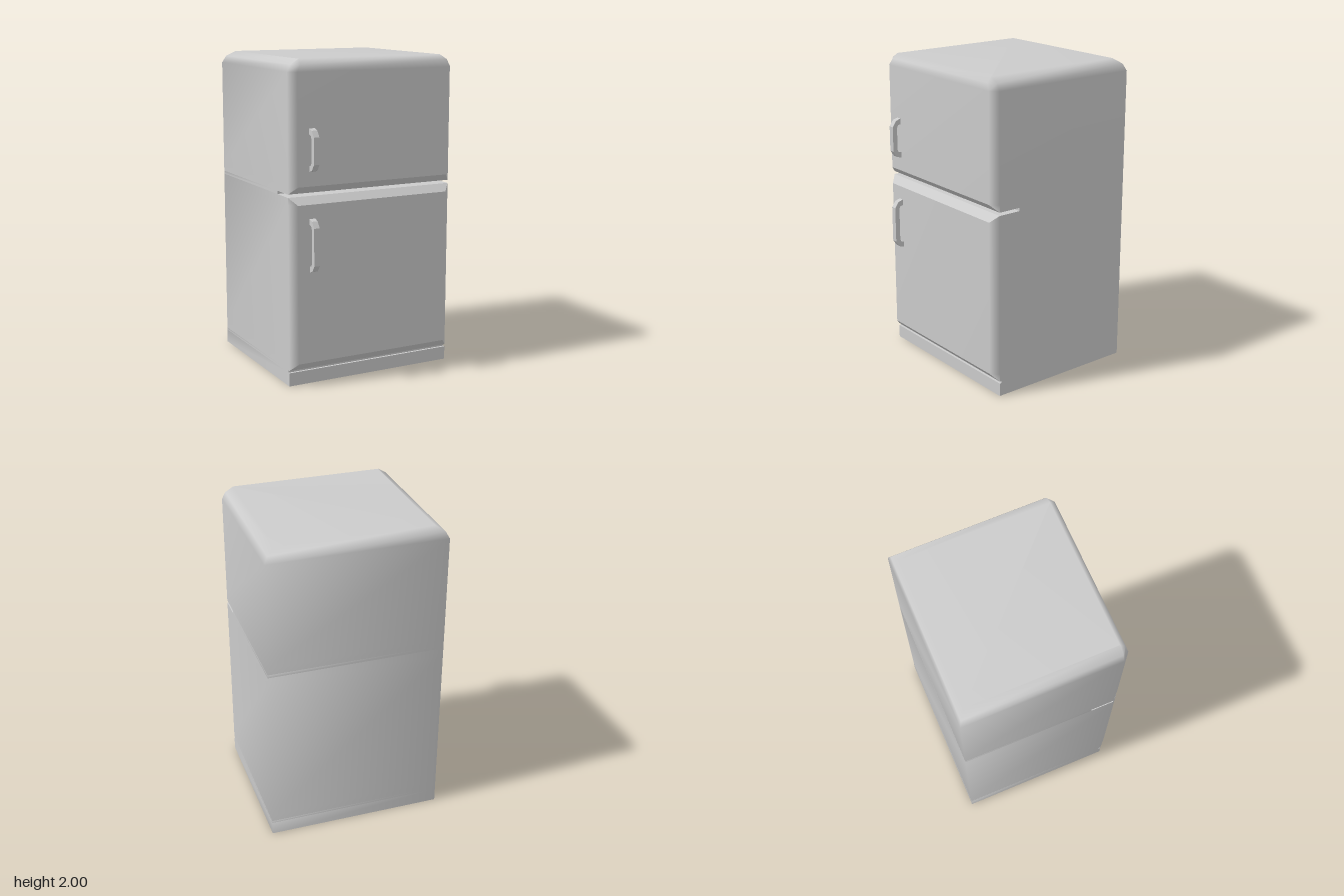
import * as THREE from 'three';

const W = 0.565, BACK = -0.555, EDGE = 0.45, FACE = 0.495, INSET = 0.52;

// Horizontal outline from back left, round the front, to back right
const outline = (y, w, back, side, cx, front) => [
  [-w, y, back], [-w, y, side], [-cx, y, front],
  [cx, y, front], [w, y, side], [w, y, back],
];
const square = (y, front) => outline(y, W, BACK, front, W, front);
const door = (y) => outline(y, W, BACK, EDGE, INSET, FACE);

function geometryFrom(points, index) {
  const g = new THREE.BufferGeometry();
  g.setAttribute('position', new THREE.Float32BufferAttribute(points.flat(), 3));
  g.setIndex(index);
  return g;
}

function createCabinet(material) {
  // [outline, whether the front strip up to the next outline is crisp]
  const rows = [
    [square(0, EDGE), true], // plinth
    [square(0.085, EDGE), true],
    [square(0.085, 0.435), true], // shadow gap
    [square(0.1, 0.435), true],
    [square(0.1, EDGE), true], // lower door
    [door(0.148), false],
    [door(1.135), true],
    [square(1.18, EDGE), true],
    [square(1.18, 0.3), true], // slot between the doors
    [square(1.2, 0.3), true],
    [square(1.2, EDGE), true], // upper door
    [door(1.245), false],
    [door(1.925), false],
    [outline(1.968, 0.542, -0.54, EDGE, 0.495, 0.485), false], // rounded top
    [outline(2, 0.49, -0.5, EDGE, 0.488, EDGE), false],
  ];
  const points = rows.flatMap((r) => r[0]);
  const smooth = [], crisp = [];
  const v = (i) => new THREE.Vector3(...points[i]);
  const add = (list, a, b, c) => {
    if (new THREE.Triangle(v(a), v(b), v(c)).getArea() > 1e-7) list.push(a, b, c);
  };
  for (let r = 0; r < rows.length - 1; r++) {
    for (let i = 0; i < 6; i++) {
      const a = r * 6 + i, b = r * 6 + ((i + 1) % 6);
      const list = rows[r][1] && i === 2 ? crisp : smooth;
      add(list, a, b, b + 6);
      add(list, a, b + 6, a + 6);
    }
  }
  // Top and underside
  const top = (rows.length - 1) * 6;
  for (let i = 1; i < 5; i++) {
    add(smooth, top, top + i, top + i + 1);
    add(crisp, 0, i + 1, i);
  }
  const shell = geometryFrom(points, smooth);
  shell.computeVertexNormals();
  const trim = geometryFrom(points, crisp).toNonIndexed();
  trim.computeVertexNormals();

  const cabinet = new THREE.Group();
  cabinet.name = 'cabinet';
  for (const [name, g] of [['shell', shell], ['bevelsAndPlinth', trim]]) {
    const mesh = new THREE.Mesh(g, material);
    mesh.name = name;
    cabinet.add(mesh);
  }
  return cabinet;
}

// Bracket handle: side profile extruded across its width
function createHandle(name, low, high, material) {
  const s = new THREE.Shape([
    [0.49, low], [0.528, low + 0.012], [0.555, low + 0.05],
    [0.555, high - 0.05], [0.528, high - 0.012], [0.49, high],
    [0.49, high - 0.037], [0.515, high - 0.043], [0.523, high - 0.06],
    [0.523, low + 0.06], [0.515, low + 0.043], [0.49, low + 0.037],
  ].map(([z, y]) => new THREE.Vector2(z, y)));
  const g = new THREE.ExtrudeGeometry(s, { depth: 0.037, bevelEnabled: false });
  g.rotateY(-Math.PI / 2).translate(-0.407, 0, 0);
  const mesh = new THREE.Mesh(g, material);
  mesh.name = name;
  return mesh;
}

export function createModel() {
  const material = new THREE.MeshStandardMaterial({ color: 0xcccccc });
  const model = new THREE.Group();
  model.name = 'refrigerator';
  model.add(
    createCabinet(material),
    createHandle('upperHandle', 1.332, 1.595, material),
    createHandle('lowerHandle', 0.718, 1.05, material),
  );
  return model;
}
